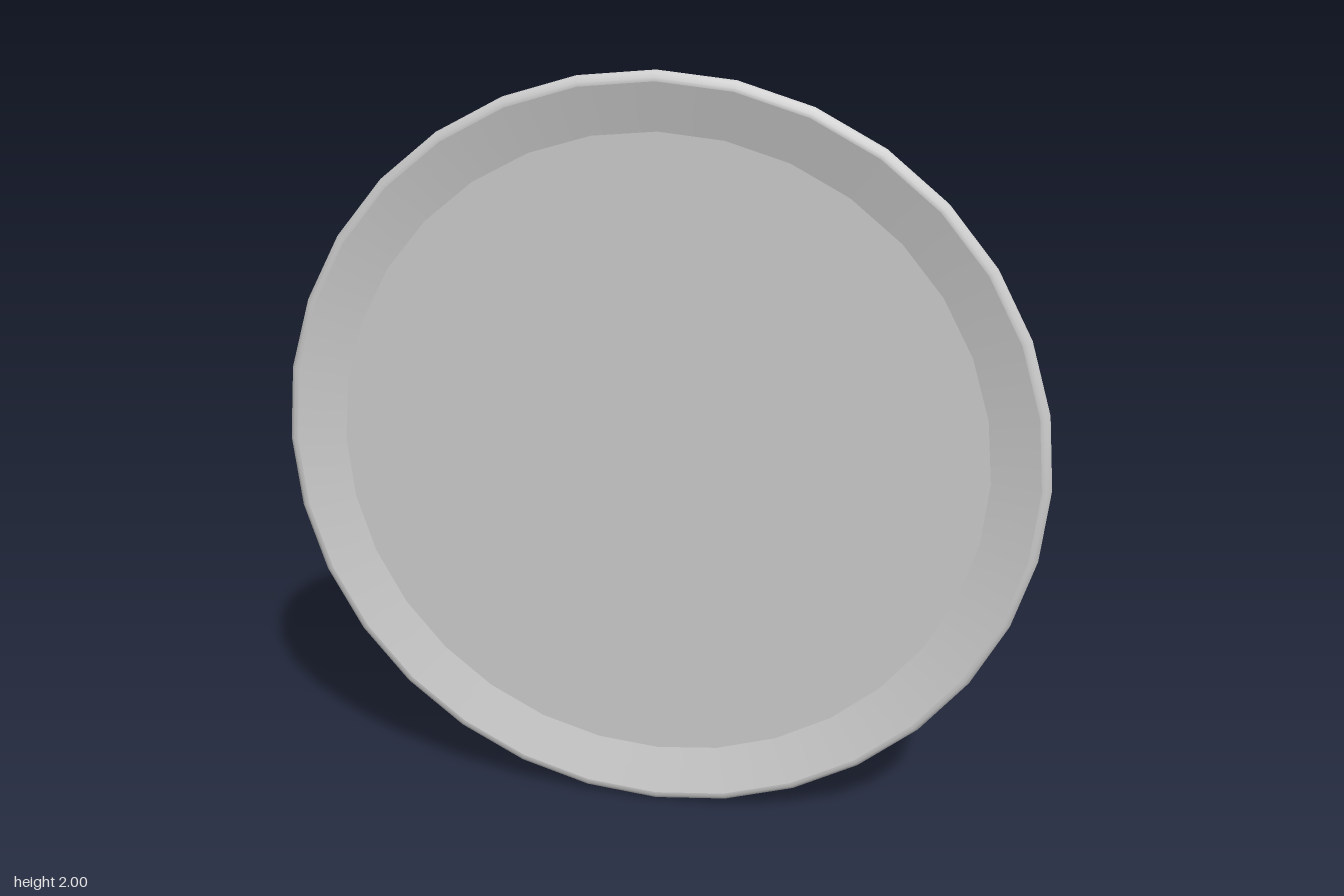
import * as THREE from 'three';

const SEGMENTS = 32;

// Revolve a list of [radius, z] points around the z axis
function revolve(name, profile, material) {
  const points = profile.map(([r, z]) => new THREE.Vector2(r, z));
  const geometry = new THREE.LatheGeometry(points, SEGMENTS);
  geometry.rotateX(Math.PI / 2);
  const mesh = new THREE.Mesh(geometry, material);
  mesh.name = name;
  return mesh;
}

export function createModel() {
  const group = new THREE.Group();
  group.name = 'plate';
  const material = new THREE.MeshStandardMaterial({ color: 0xcccccc, side: THREE.DoubleSide });

  group.add(
    // Underside: sunken centre, foot ring with a small undercut, flaring wall
    revolve('underside', [
      [0, -0.04], [0.42, -0.04], [0.5, -0.05], [0.54, -0.067], [0.6, -0.064],
      [0.67, -0.057], [0.68, -0.052], [0.68, -0.042], [0.65, -0.036], [0.65, -0.028],
      [0.7, -0.026], [0.8, -0.016], [0.9, 0.004], [1, 0.048],
    ], material),
    // Narrow bevelled lip
    revolve('lip', [[1, 0.048], [0.995, 0.06], [0.985, 0.067], [0.975, 0.067]], material),
    // Shallow sloping border of the eating surface
    revolve('border', [[0.975, 0.067], [0.85, 0.035]], material),
    // Flat middle
    revolve('centre', [[0.85, 0.035], [0, 0.035]], material),
  );

  group.position.y = 1;
  const model = new THREE.Group();
  model.name = 'model';
  model.add(group);
  return model;
}
